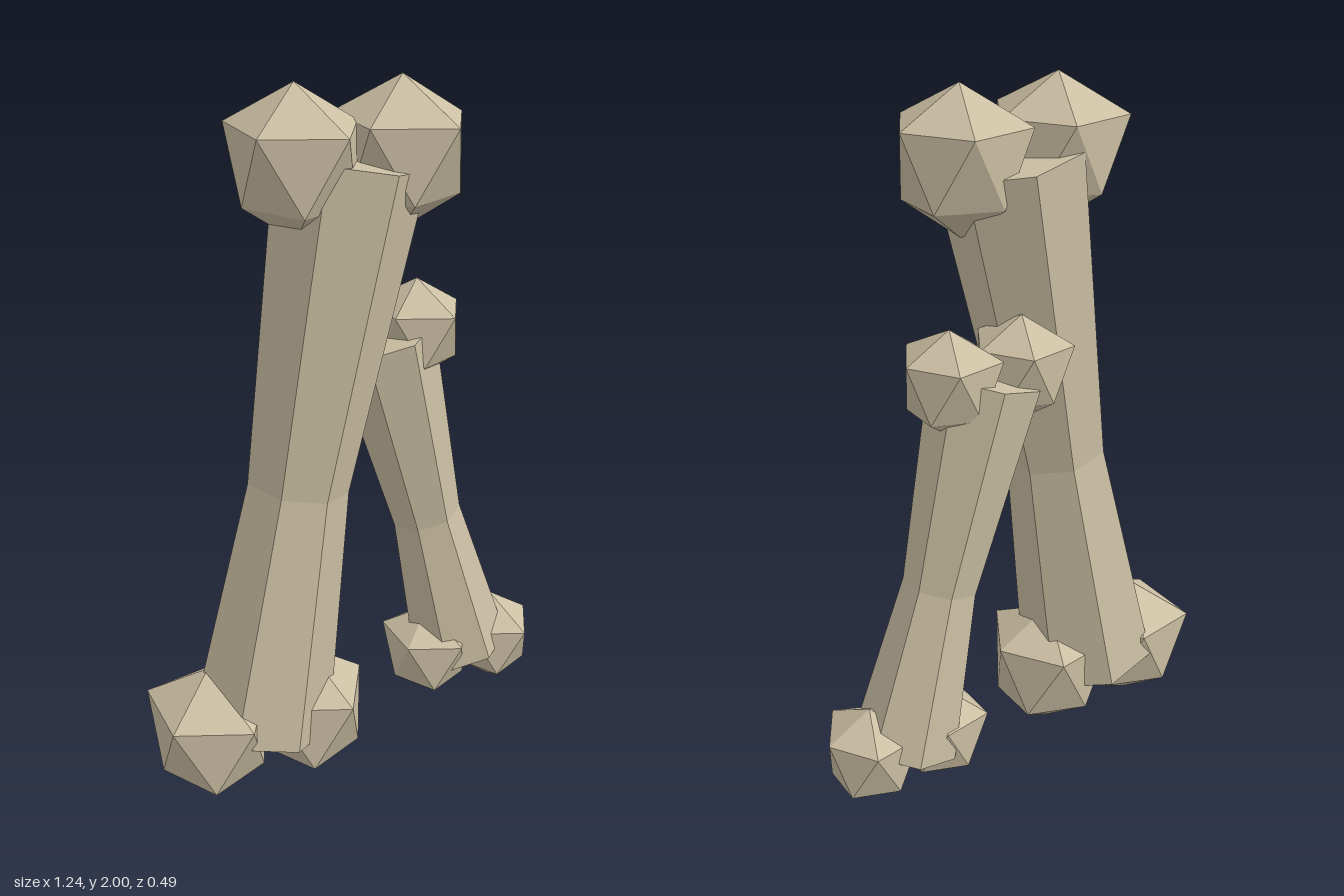
import * as THREE from 'three';
import { ConvexGeometry } from 'three/addons/geometries/ConvexGeometry.js';

// Slightly uneven twelve-cornered knob, radius 0.2
function knobGeometry() {
  const upper = [[0.17, 0], [0.055, -0.171], [-0.145, -0.124], [-0.145, 0.122], [0.06, 0.204]];
  const lower = [[-0.145, 0], [-0.045, -0.145], [0.128, -0.09], [0.128, 0.085], [-0.045, 0.172]];
  return new ConvexGeometry([
    new THREE.Vector3(0, 0.2, 0),
    ...upper.map(([x, z]) => new THREE.Vector3(x, 0.093, z)),
    ...lower.map(([x, z]) => new THREE.Vector3(x, -0.1, z)),
    new THREE.Vector3(0, -0.2, 0),
  ]);
}

export function createModel() {
  const model = new THREE.Group();
  model.name = 'bones';
  const bone = new THREE.MeshStandardMaterial({ color: 0xcbbfa3, flatShading: true });
  bone.name = 'bone';
  const knobGeo = knobGeometry();

  // A seven-sided waisted shaft with a pair of upright knobs at each end
  function addBone(name, bottom, top, z, endRadius, waistRadius, knobScale) {
    const group = new THREE.Group();
    group.name = name;
    const dx = top[0] - bottom[0], dy = top[1] - bottom[1];
    const length = Math.hypot(dx, dy);
    const profile = [[0, 0], [endRadius, 0], [waistRadius, length * 0.45], [endRadius, length], [0, length]]
      .map(([r, y]) => new THREE.Vector2(r, y));
    const shaft = new THREE.Mesh(new THREE.LatheGeometry(profile, 7, -Math.PI / 2), bone);
    shaft.name = 'shaft';
    shaft.position.set(bottom[0], bottom[1], z);
    shaft.rotation.z = -Math.atan2(dx, dy);
    group.add(shaft);

    for (const [end, [x, y]] of [['lower', bottom], ['upper', top]]) {
      for (const side of [-1, 1]) {
        const knob = new THREE.Mesh(knobGeo, bone);
        knob.name = end + (side < 0 ? 'RightKnob' : 'LeftKnob');
        knob.scale.setScalar(knobScale);
        knob.position.set(x + side * 0.147 * knobScale, y, z);
        group.add(knob);
      }
    }
    model.add(group);
  }

  addBone('largeBone', [-0.323, 0.2], [-0.035, 1.8], 0.038, 0.205, 0.144, 1);
  addBone('smallBone', [0.39, 0.205], [0.118, 1.265], -0.095, 0.152, 0.104, 0.74);
  return model;
}
